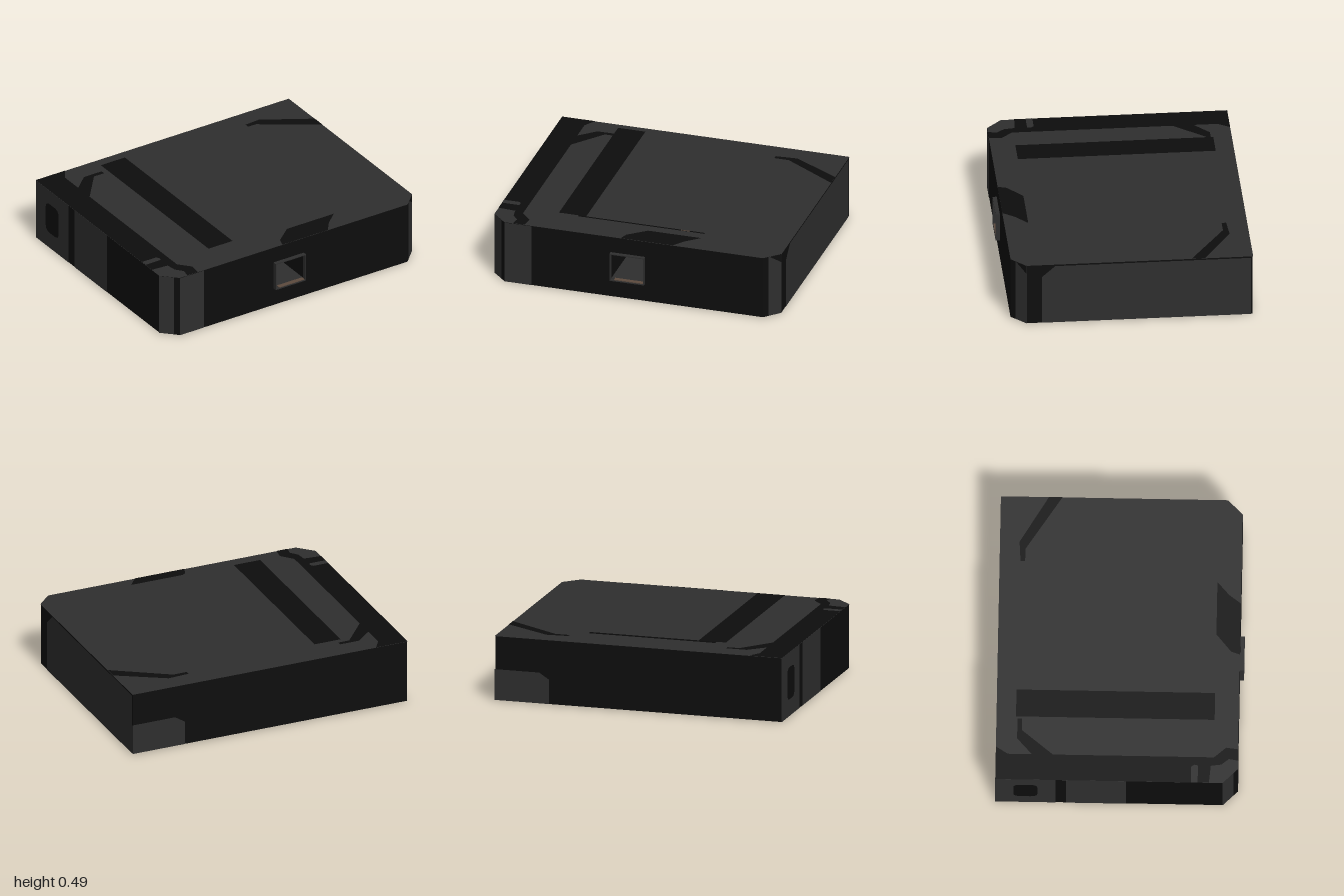
import * as THREE from 'three';

const mat = (name, color) => Object.assign(new THREE.MeshStandardMaterial({ color }), { name });

// Closed shape through points, corners rounded by radius r
function outline(pts, r = 0) {
  const v = pts.map(p => new THREE.Vector2(p[0], p[1]));
  if (!r) return new THREE.Shape(v);
  const s = new THREE.Shape();
  v.forEach((p, i) => {
    const toward = q => p.clone().add(q.clone().sub(p).setLength(Math.min(r, p.distanceTo(q) / 2)));
    const a = toward(v[(i + v.length - 1) % v.length]);
    const b = toward(v[(i + 1) % v.length]);
    if (i) s.lineTo(a.x, a.y); else s.moveTo(a.x, a.y);
    s.quadraticCurveTo(p.x, p.y, b.x, b.y);
  });
  s.closePath();
  return s;
}
const rect = (a0, a1, b0, b1) => [[a0, b0], [a1, b0], [a1, b1], [a0, b1]];

export function createModel() {
  const model = new THREE.Group();
  model.name = 'device';
  const black = mat('black', 0x0d0d0d);
  const grey = mat('darkGrey', 0x2e2e2e);
  const brown = mat('brown', 0x5c4a3d);
  const H = 0.44;

  const add = (name, geo, m) => {
    const mesh = new THREE.Mesh(geo, m);
    mesh.name = name;
    model.add(mesh);
    return mesh;
  };

  // Each face: origin, drawing axes, and signs mapping model coordinates to the axes
  const d = Math.SQRT1_2;
  const faces = {
    top: { o: [0, H, 0], u: [1, 0, 0], v: [0, 0, -1], s: [1, -1] },
    bottom: { o: [0, 0.004, 0], u: [1, 0, 0], v: [0, 0, 1], s: [1, 1] },
    front: { o: [0, 0, 0.79], u: [1, 0, 0], v: [0, 1, 0], s: [1, 1] },
    back: { o: [0, 0, -0.816], u: [-1, 0, 0], v: [0, 1, 0], s: [-1, 1] },
    left: { o: [0.996, 0, 0], u: [0, 0, -1], v: [0, 1, 0], s: [-1, 1] },
    right: { o: [-0.996, 0, 0], u: [0, 0, 1], v: [0, 1, 0], s: [1, 1] },
    leftChamfer: { o: [0.948, 0, 0.738], u: [d, 0, -d], v: [0, 1, 0], s: [1, 1] },
    rightChamfer: { o: [-0.948, 0, 0.738], u: [d, 0, d], v: [0, 1, 0], s: [1, 1] },
    screen: { o: [0, 0.484, 0], u: [1, 0, 0], v: [0, 0, -1], s: [1, -1] },
  };
  // Flat painted area on a face; layer lifts it over the one below
  const paint = (name, face, m, pts, r = 0, layer = 1) => {
    const f = faces[face];
    const u = new THREE.Vector3(...f.u), v = new THREE.Vector3(...f.v);
    const n = u.clone().cross(v);
    const geo = new THREE.ShapeGeometry(outline(pts.map(p => [p[0] * f.s[0], p[1] * f.s[1]]), r), 5);
    const basis = new THREE.Matrix4().makeBasis(u, v, n);
    basis.setPosition(new THREE.Vector3(...f.o).addScaledVector(n, 0.002 * layer));
    add(name, geo.applyMatrix4(basis), m);
  };

  // Case: three stacked slabs, the middle one notched for the socket
  const start = [[-0.996, -0.816], [0.996, -0.816], [0.996, 0.69], [0.9, 0.79]];
  const end = [[-0.9, 0.79], [-0.996, 0.69]];
  const notch = [[0.075, 0.79], [0.075, 0.45], [-0.155, 0.45], [-0.155, 0.79]];
  const plan = [...start, ...end];
  [[0.004, 0.135, plan], [0.135, 0.325, [...start, ...notch, ...end]], [0.325, H, plan]].forEach(([y0, y1, pts]) => {
    const geo = new THREE.ExtrudeGeometry(outline(pts.map(([x, z]) => [x, -z])), { depth: y1 - y0, bevelEnabled: false });
    add('case', geo.rotateX(-Math.PI / 2).translate(0, y0, 0), black);
  });

  // Socket rim, floor and contact strip
  const rim = outline(rect(-0.16, 0.08, 0.13, 0.33));
  rim.holes.push(new THREE.Path(rect(-0.154, 0.074, 0.136, 0.324).map(p => new THREE.Vector2(...p))));
  add('socketRim', new THREE.ExtrudeGeometry(rim, { depth: 0.028, bevelEnabled: false }).translate(0, 0, 0.79), grey);
  add('socketFloor', new THREE.BoxGeometry(0.228, 0.004, 0.34).translate(-0.04, 0.138, 0.62), grey);
  add('socketContact', new THREE.BoxGeometry(0.2, 0.004, 0.03).translate(-0.03, 0.14, 0.8), brown);

  // Raised screen: a core under a wider thin panel
  add('screenCore', new THREE.BoxGeometry(0.875, 0.053, 1.12).translate(-0.0175, 0.4565, 0), black);
  add('screenCoreSide', new THREE.BoxGeometry(0.004, 0.044, 0.31).translate(0.421, 0.462, 0.405), grey);
  add('screenContact', new THREE.BoxGeometry(0.06, 0.02, 0.004).translate(0.29, 0.455, 0.561), brown);
  paint('screenBand', 'screen', black, rect(-0.57, -0.38, -0.69, 0.63));
  paint('screenPanel', 'screen', grey, rect(-0.38, 0.53, -0.69, 0.63));

  // Top cover and its dark markings
  paint('topCover', 'top', grey, [[-1, -0.82], [1, -0.82], [1, 0.69], [0.9, 0.79], [-0.9, 0.79], [-1, 0.69]]);
  paint('topSideStripe', 'top', black, [[-1, -0.82], [-0.77, -0.82], [-0.82, -0.74], [-0.82, -0.58],
    [-0.71, -0.68], [-0.57, -0.68], [-0.57, -0.65], [-0.65, -0.65], [-0.82, -0.44], [-0.82, 0.63],
    [-0.75, 0.71], [-0.76, 0.79], [-0.84, 0.79], [-0.83, 0.73], [-0.87, 0.68], [-0.88, 0.61], [-1, 0.6]], 0, 2);
  paint('topSlit', 'top', grey, [[-1, 0.48], [-0.89, 0.48], [-0.875, 0.5], [-0.88, 0.525], [-1, 0.525]], 0, 3);
  paint('topBackMark', 'top', black, [[0.53, -0.68], [0.68, -0.69], [1, -0.5], [1, -0.41], [0.63, -0.65], [0.53, -0.65]], 0, 2);
  paint('topFrontMark', 'top', black, [[0.05, 0.63], [0.42, 0.63], [0.33, 0.71], [0.27, 0.79], [-0.09, 0.79], [-0.07, 0.73]], 0, 2);

  // Front, chamfered corners and back
  paint('frontPanel', 'front', grey, rect(-0.9, -0.71, 0.004, H));
  for (const side of ['left', 'right'])
    paint(side + 'CornerPanel', side + 'Chamfer', grey, rect(-0.07, 0.07, 0.004, H));
  paint('leftCornerMark', 'leftChamfer', black, [[-0.02, H], [0.07, H], [0.07, 0.38]], 0, 2);
  paint('backPanel', 'back', grey, [[1, 0.004], [0.62, 0.004], [0.62, 0.17], [0.69, 0.215], [1, 0.215]]);

  // Sides
  paint('leftPanel', 'left', grey, [[0.59, 0.004], [0.59, 0.35], [0.5, 0.43], [-0.805, 0.43], [-0.805, 0.004]]);
  paint('rightBackPanel', 'right', grey, rect(-0.82, -0.42, 0.004, H));
  paint('rightPort', 'right', black, rect(-0.7, -0.54, 0.12, 0.34), 0.05, 2);
  paint('rightMiddlePanel', 'right', grey, rect(-0.35, 0.05, 0.004, H));

  // Underside panels
  paint('basePanel', 'bottom', grey, [[1, -0.82], [-0.27, -0.82], [-0.27, 0.5], [-0.2, 0.58], [1, 0.58]]);
  paint('baseFrontPanel', 'bottom', grey, [[1, 0.67], [-0.3, 0.67], [-0.3, 0.79], [0.9, 0.79], [1, 0.69]]);
  paint('baseCornerPanel', 'bottom', grey, [[-0.4, 0.67], [-1, 0.67], [-1, 0.69], [-0.9, 0.79], [-0.4, 0.79]]);
  paint('baseBackPanel', 'bottom', grey, rect(-1, -0.41, -0.82, -0.44));
  paint('baseMiddlePanel', 'bottom', grey, rect(-1, -0.41, -0.33, 0.05), 0.03);
  paint('baseSlit', 'bottom', grey, rect(-0.78, -0.41, 0.15, 0.18), 0.015);
  paint('baseLabel', 'bottom', brown, rect(0.06, 0.38, -0.5, 0.11), 0.06, 2);
  paint('baseDot', 'bottom', brown, rect(0.28, 0.46, 0.47, 0.55), 0.05, 2);

  return model;
}
